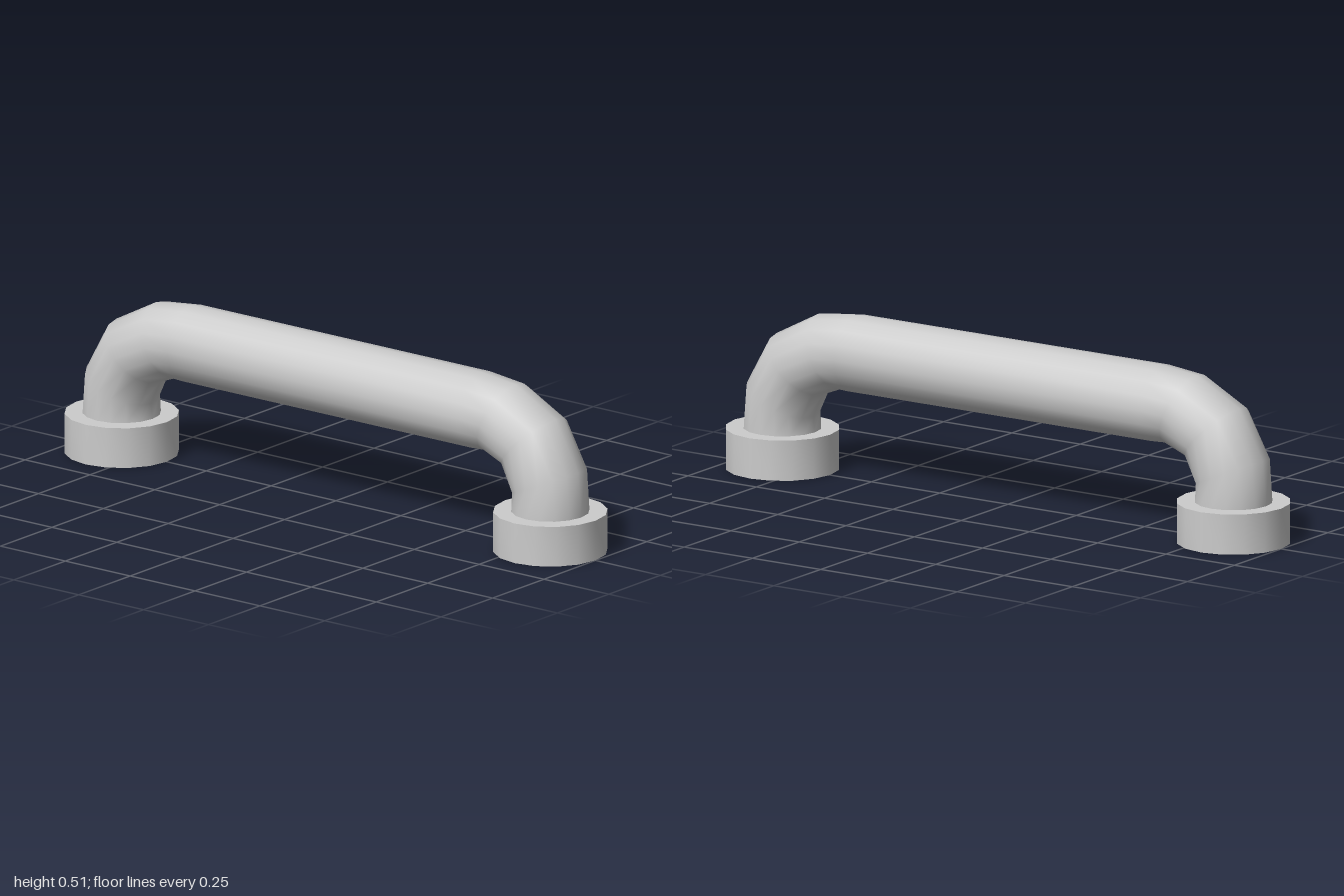
import * as THREE from 'three';
import { toCreasedNormals } from 'three/addons/utils/BufferGeometryUtils.js';

const SIDES = 16;
const PIPE_R = 0.119;
const COLLAR_R = 0.174;
const COLLAR_H = 0.125;
const LEG_Z = 1 - COLLAR_R;

// Sweeps a round section along rings given by outer-edge point (z, y) and tilt
function pipeGeometry(rings) {
  const positions = [];
  const index = [];
  rings.forEach(({ z, y, tilt }, i) => {
    for (let j = 0; j < SIDES; j++) {
      const a = (j / SIDES) * Math.PI * 2;
      const inward = PIPE_R * (Math.cos(a) - 1);
      positions.push(PIPE_R * Math.sin(a), y + Math.sin(tilt) * inward, z + Math.cos(tilt) * inward);
      if (i === rings.length - 1) continue;
      const next = (j + 1) % SIDES;
      const p = i * SIDES + j, q = i * SIDES + next;
      index.push(p, q, q + SIDES, p, q + SIDES, p + SIDES);
    }
  });
  const geometry = new THREE.BufferGeometry();
  geometry.setAttribute('position', new THREE.Float32BufferAttribute(positions, 3));
  geometry.setIndex(index);
  geometry.computeVertexNormals();
  return geometry;
}

export function createModel() {
  const group = new THREE.Group();
  group.name = 'pullHandle';
  const material = new THREE.MeshStandardMaterial({ color: 0xcccccc, side: THREE.DoubleSide });

  // Bent grip: the front elbow's rings, then the same mirrored for the back
  const elbow = [
    [LEG_Z + PIPE_R, COLLAR_H],
    [0.933, 0.263],
    [0.847, 0.415],
    [0.692, 0.497],
    [0.557, 0.512],
  ].map(([z, y], i) => ({ z, y, tilt: (i * Math.PI) / 8 }));
  const mirrored = elbow.map(({ z, y, tilt }) => ({ z: -z, y, tilt: Math.PI - tilt })).reverse();
  const grip = new THREE.Mesh(pipeGeometry([...elbow, ...mirrored]), material);
  grip.name = 'grip';
  group.add(grip);

  // Hollow collars, open underneath, with a flat rim around the pipe
  const profile = [
    new THREE.Vector2(COLLAR_R, 0),
    new THREE.Vector2(COLLAR_R, COLLAR_H),
    new THREE.Vector2(PIPE_R, COLLAR_H),
  ];
  const collarGeometry = toCreasedNormals(new THREE.LatheGeometry(profile, SIDES), 0.6);
  for (const [name, side] of [['frontCollar', 1], ['backCollar', -1]]) {
    const collar = new THREE.Mesh(collarGeometry, material);
    collar.name = name;
    collar.position.z = side * LEG_Z;
    group.add(collar);
  }
  return group;
}
